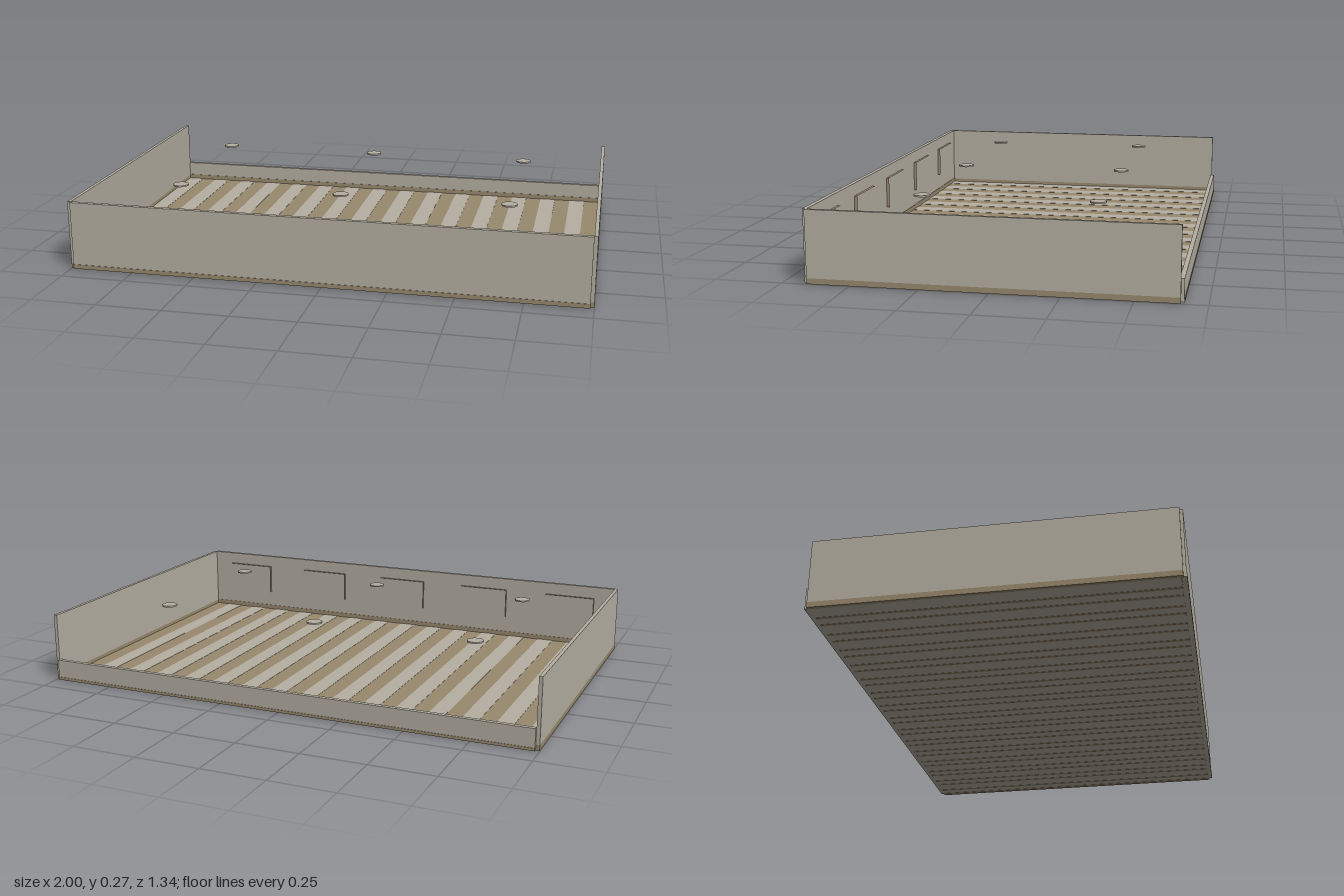
import * as THREE from 'three';

export function createModel() {
  const root = new THREE.Group();
  root.name = 'tray';
  const grey = new THREE.MeshStandardMaterial({ color: 0xb6b0a3 });
  grey.name = 'warm grey';
  const brown = new THREE.MeshStandardMaterial({ color: 0x998a6f });
  brown.name = 'wood brown';

  // Box given by its minimum and maximum corners
  function box(name, mat, x0, x1, y0, y1, z0, z1) {
    const mesh = new THREE.Mesh(new THREE.BoxGeometry(x1 - x0, y1 - y0, z1 - z0), mat);
    mesh.position.set((x0 + x1) / 2, (y0 + y1) / 2, (z0 + z1) / 2);
    mesh.name = name;
    root.add(mesh);
    return mesh;
  }

  const inX = 0.986, inZ = 0.651, sideZ = 0.657, outZ = 0.67, height = 0.27, band = 0.022;

  // Floor of alternating slats with a grey underside and narrow brown seams
  const count = 30, width = (2 * inX) / count, seam = 0.012;
  const brownOnTop = [brown, brown, brown, grey, brown, brown];
  for (let i = 0; i < count; i++) {
    const x = -inX + i * width;
    if (i % 2) {
      box('brownSlat', brownOnTop, x, x + width, 0.001, 0.007, -inZ, inZ);
      box('seam', brown, x, x + seam, 0, 0.002, -inZ, inZ);
      box('seam', brown, x + width - seam, x + width, 0, 0.002, -inZ, inZ);
    } else {
      box('greySlat', grey, x, x + width, 0.001, 0.008, -inZ, inZ);
    }
  }

  // Side walls standing on brown rails
  for (const [name, x0, x1] of [['leftWall', inX, 1], ['rightWall', -1, -inX]]) {
    box(name + 'Rail', brown, x0, x1, 0.001, band, -sideZ, sideZ);
    box(name, grey, x0, x1, band, height, -sideZ, sideZ);
  }

  // Tall front wall and low back wall, with brown strips along the bottom of both faces
  const skin = 0.002;
  box('frontWall', grey, -inX, inX, 0.003, height, inZ, outZ - skin);
  box('frontOuterStrip', brown, -inX, inX, 0.003, 0.02, outZ - skin, outZ);
  box('frontInnerStrip', brown, -inX, inX, 0.003, 0.026, inZ - skin, inZ);
  box('backWall', grey, -inX, inX, 0.003, 0.085, -outZ + skin, -inZ);
  box('backOuterStrip', brown, -inX, inX, 0.003, 0.014, -outZ, -outZ + skin);
  box('backInnerStrip', brown, -inX, inX, 0.003, 0.026, -inZ, -inZ + skin);

  // Open rectangular rims on the inside of the front wall (box without front and back faces)
  for (let i = -2; i <= 2; i++) {
    const x = i * 0.396;
    const { geometry } = box('innerRim', brown, x - 0.107, x + 0.107, 0.095, 0.22, 0.639, inZ);
    geometry.setIndex(Array.from(geometry.index.array.slice(0, 24)));
    geometry.clearGroups();
  }

  // Six flat discs level with the wall tops
  for (const x of [-0.66, 0, 0.66]) {
    for (const z of [-0.33, 0.33]) {
      const disc = new THREE.Mesh(new THREE.CylinderGeometry(0.031, 0.031, 0.006, 24), grey);
      disc.position.set(x, height - 0.003, z);
      disc.name = 'disc';
      root.add(disc);
    }
  }
  return root;
}
